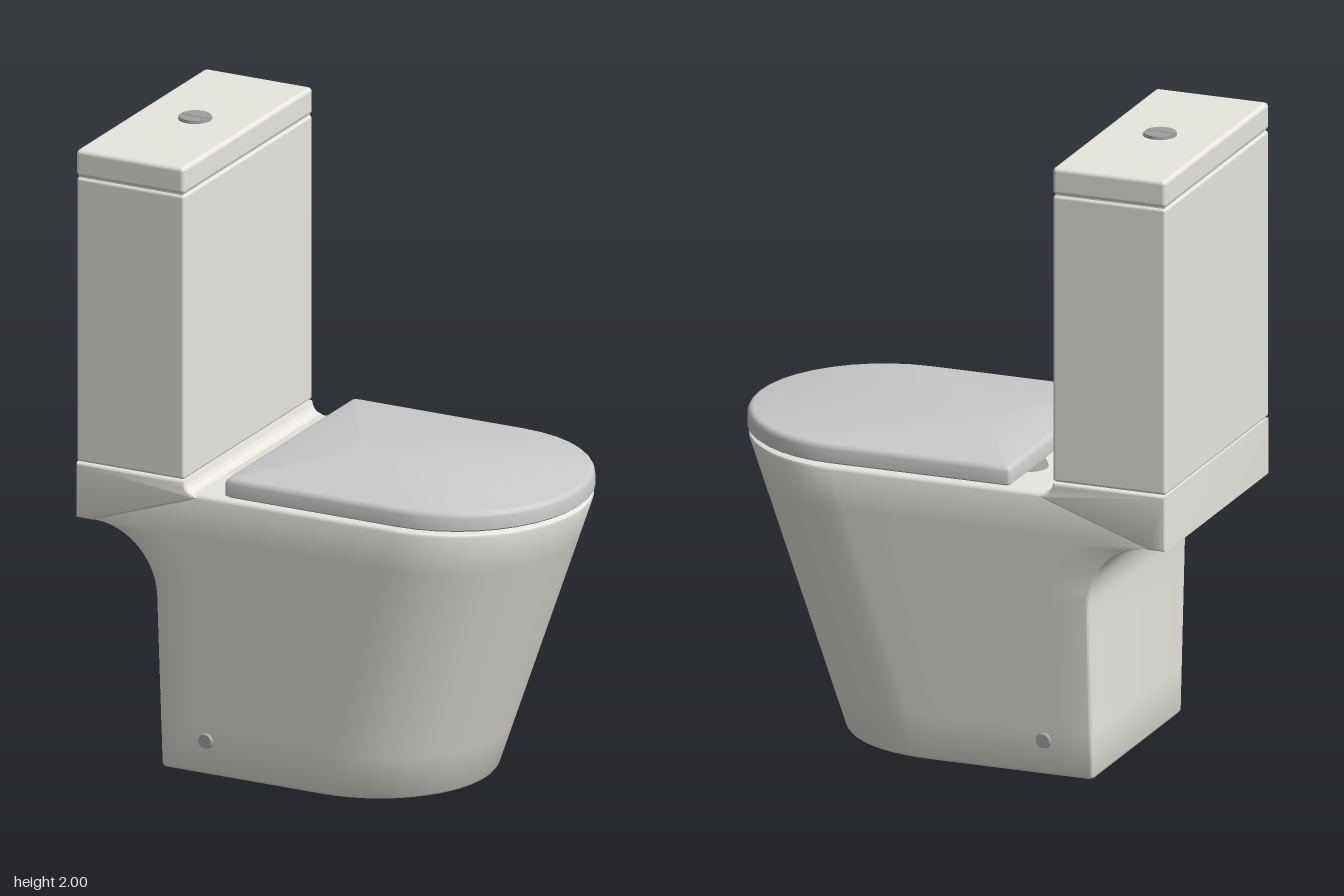
import * as THREE from 'three';
import { toCreasedNormals } from 'three/addons/utils/BufferGeometryUtils.js';
import { RoundedBoxGeometry } from 'three/addons/geometries/RoundedBoxGeometry.js';

const ceramic = new THREE.MeshStandardMaterial({ color: 0xe8e6df });
const plastic = new THREE.MeshStandardMaterial({ color: 0xbcbcbc });
const metal = new THREE.MeshStandardMaterial({ color: 0xa0a0a0 });
const lerp = THREE.MathUtils.lerp;

function add(parent, name, geometry, material, x = 0, y = 0, z = 0) {
  const mesh = new THREE.Mesh(geometry, material);
  mesh.name = name;
  mesh.position.set(x, y, z);
  parent.add(mesh);
  return mesh;
}

// D-shaped outline: square back, half-elliptical front; runs from +z round to -z
function dOutline(back, front, halfWidth, noseLength, segments = 28) {
  const points = [];
  const start = front - noseLength;
  const r = 0.012;
  const corner = [];
  for (let i = 0; i <= 4; i++) {
    const a = (i / 4) * Math.PI / 2;
    corner.push([back + r - r * Math.cos(a), halfWidth - r + r * Math.sin(a)]);
  }
  points.push(...corner);
  for (let i = 1; i < 6; i++) points.push([lerp(back + r, start, i / 6), halfWidth]);
  for (let i = 0; i <= segments; i++) {
    const a = Math.PI / 2 - (i / segments) * Math.PI;
    points.push([start + noseLength * Math.cos(a), halfWidth * Math.sin(a)]);
  }
  for (let i = 5; i > 0; i--) points.push([lerp(back + r, start, i / 6), -halfWidth]);
  for (const [x, z] of corner.reverse()) points.push([x, -z]);
  return points;
}

// Skin a stack of closed outlines, each { y, points }, and cap both ends
function loft(rows) {
  const n = rows[0].points.length;
  const pos = [];
  const index = [];
  for (const { y, points } of rows) for (const [x, z] of points) pos.push(x, y, z);
  for (let r = 0; r < rows.length - 1; r++) {
    for (let i = 0; i < n; i++) {
      const a = r * n + i, b = r * n + (i + 1) % n;
      index.push(a, b, b + n, a, b + n, a + n);
    }
  }
  const last = (rows.length - 1) * n;
  const centre = pos.length / 3;
  pos.push(0, rows[0].y, 0, 0, rows[rows.length - 1].y, 0);
  for (let i = 0; i < n; i++) {
    const j = (i + 1) % n;
    index.push(centre, j, i, centre + 1, last + i, last + j);
  }
  const g = new THREE.BufferGeometry();
  g.setAttribute('position', new THREE.Float32BufferAttribute(pos, 3));
  g.setIndex(index);
  return toCreasedNormals(g, 0.7);
}

// Pedestal section: flares upwards, leans forwards, back sweeps out under the tank
function panRow(y, back, inset = 0) {
  const t = y / 0.93;
  return {
    y,
    points: dOutline(back + inset, lerp(0.435, 0.76, t) - inset,
      lerp(0.365, 0.425, t) - inset, lerp(0.37, 0.41, t)),
  };
}

function panGeometry() {
  const rows = [panRow(0, -0.5, 0.012), panRow(0.004, -0.5, 0.004), panRow(0.012, -0.5)];
  for (const y of [0.15, 0.3, 0.45]) rows.push(panRow(y, -0.5));
  for (let i = 0; i <= 12; i++) {
    const a = (i / 12) * Math.PI / 2;
    rows.push(panRow(0.57 + 0.22 * Math.sin(a), -0.715 + 0.215 * Math.cos(a)));
  }
  rows.push(panRow(0.792, -0.755), panRow(0.918, -0.755));
  rows.push(panRow(0.926, -0.755, 0.004), panRow(0.93, -0.755, 0.012));
  return loft(rows);
}

// Ledge carrying the tank, wedge-shaped in profile with a small cove at the front
function shelfGeometry() {
  const s = new THREE.Shape();
  s.moveTo(-0.757, 0.962);
  s.lineTo(-0.757, 0.798);
  s.lineTo(-0.71, 0.798);
  s.lineTo(-0.37, 0.918);
  s.lineTo(-0.355, 0.922);
  s.quadraticCurveTo(-0.39, 0.925, -0.397, 0.962);
  const g = new THREE.ExtrudeGeometry(s, {
    depth: 0.838, bevelSize: 0.008, bevelThickness: 0.008, bevelSegments: 3, curveSegments: 8,
  });
  g.translate(0, 0, -0.419);
  return toCreasedNormals(g, 0.6);
}

function lidGeometry() {
  const row = (y, e) => ({ y, points: dOutline(-0.25 + e, 0.76 - e, 0.425 - e, 0.41 - e, 20) });
  return loft([row(0.94, 0.008), row(0.946, 0), row(0.985, 0), row(0.994, 0.003),
    row(1.001, 0.009), row(1.004, 0.018)]);
}

export function createModel() {
  const model = new THREE.Group();
  model.name = 'toilet';

  add(model, 'pan', panGeometry(), ceramic);
  add(model, 'tankShelf', shelfGeometry(), ceramic);

  // Tank and its cover
  add(model, 'tank', new RoundedBoxGeometry(0.375, 0.927, 0.85, 3, 0.01), ceramic, -0.5775, 1.4365, 0);
  add(model, 'tankSeam', new THREE.BoxGeometry(0.362, 0.03, 0.836), ceramic, -0.5775, 1.9, 0);
  add(model, 'tankCover', new RoundedBoxGeometry(0.377, 0.088, 0.854, 3, 0.014), ceramic, -0.5775, 1.947, 0);

  // Split flush button
  const button = new THREE.Group();
  button.name = 'flushButton';
  button.position.set(-0.575, 1.99, 0);
  model.add(button);
  add(button, 'buttonBase', new THREE.CylinderGeometry(0.053, 0.053, 0.012, 32), metal);
  for (const side of [1, -1]) {
    const half = new THREE.Shape();
    half.absarc(0, 0, 0.049, 0, Math.PI, false);
    half.quadraticCurveTo(0, -0.012 * side, 0.049, 0);
    const g = new THREE.ExtrudeGeometry(half, { depth: 0.004, bevelEnabled: false, curveSegments: 20 });
    g.rotateX(-Math.PI / 2);
    const mesh = add(button, 'buttonHalf', g, metal, 0, 0.006, -0.0015 * side);
    if (side < 0) mesh.rotation.y = Math.PI;
  }

  // Lid on a slim pad, with two hinge caps
  add(model, 'lid', lidGeometry(), plastic);
  const pad = (y) => ({ y, points: dOutline(-0.06, 0.65, 0.31, 0.31) });
  add(model, 'lidPad', loft([pad(0.925), pad(0.945)]), plastic);
  for (const side of [1, -1]) {
    add(model, 'hingeCap', new THREE.CylinderGeometry(0.06, 0.065, 0.017, 32), metal, -0.21, 0.9365, 0.183 * side);
    // Floor fixing caps
    const bolt = add(model, 'fixingCap', new THREE.CylinderGeometry(0.022, 0.028, 0.024, 24), metal, -0.34, 0.115, 0.373 * side);
    bolt.rotation.x = side * Math.PI / 2;
  }
  return model;
}
